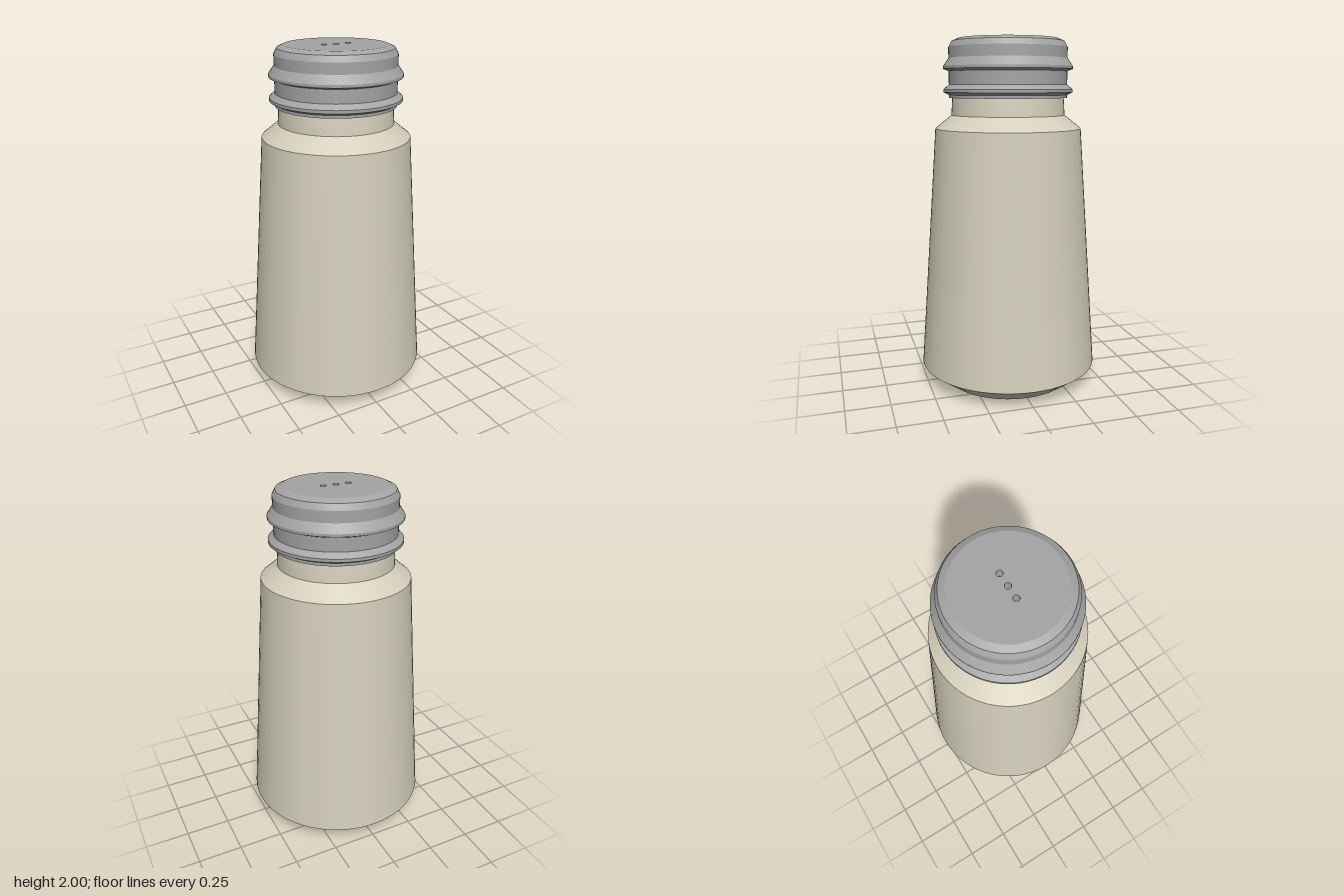
import * as THREE from 'three';
import { toCreasedNormals } from 'three/addons/utils/BufferGeometryUtils.js';

const SEGMENTS = 64;
const HOLE_RADIUS = 0.017;
const RIM_RADIUS = 0.284;

const ceramic = new THREE.MeshStandardMaterial({ color: 0xd4cfbc });
ceramic.name = 'cream body';
const metal = new THREE.MeshStandardMaterial({ color: 0xa4a4a5 });
metal.name = 'grey cap';

// Turned part from a bottom-to-top profile, smooth around and sharp at its rings
function turned(name, profile, material) {
  const points = profile.map(([r, y]) => new THREE.Vector2(r, y));
  const geometry = toCreasedNormals(new THREE.LatheGeometry(points, SEGMENTS), 0.3);
  const mesh = new THREE.Mesh(geometry, material);
  mesh.name = name;
  return mesh;
}

// Points of a circle, for outlines and holes
function circle(x, radius, count) {
  return Array.from({ length: count }, (_, i) => {
    const a = (i / count) * Math.PI * 2;
    return new THREE.Vector2(x + radius * Math.cos(a), radius * Math.sin(a));
  });
}

export function createModel() {
  const model = new THREE.Group();
  model.name = 'shaker';

  // Tapered body with a chamfered foot, sloped shoulder and closed neck
  model.add(turned('body', [
    [0, 0], [0.385, 0], [0.52, 0.1], [0.418, 1.5],
    [0.325, 1.575], [0.318, 1.68], [0.28, 1.92], [0, 1.92],
  ], ceramic));

  // Cap side with two raised rings and a bevelled top edge
  model.add(turned('capSide', [
    [0.3, 1.672], [0.337, 1.672], [0.337, 1.688], [0.368, 1.703], [0.368, 1.72],
    [0.337, 1.746], [0.337, 1.82], [0.368, 1.832], [0.368, 1.847],
    [0.337, 1.892], [0.337, 1.952], [0.32, 1.984], [RIM_RADIUS, 2],
  ], metal));

  // Flat cap top pierced by three pouring holes
  const outline = new THREE.Shape(circle(0, RIM_RADIUS, SEGMENTS));
  for (const x of [-0.073, 0, 0.073]) {
    outline.holes.push(new THREE.Path(circle(x, HOLE_RADIUS, 16)));
  }
  const plate = new THREE.ExtrudeGeometry(outline, { depth: 0.06, bevelEnabled: false });
  plate.rotateX(-Math.PI / 2).translate(0, 1.94, 0);
  const capTop = new THREE.Mesh(plate, metal);
  capTop.name = 'capTop';
  model.add(capTop);

  return model;
}
